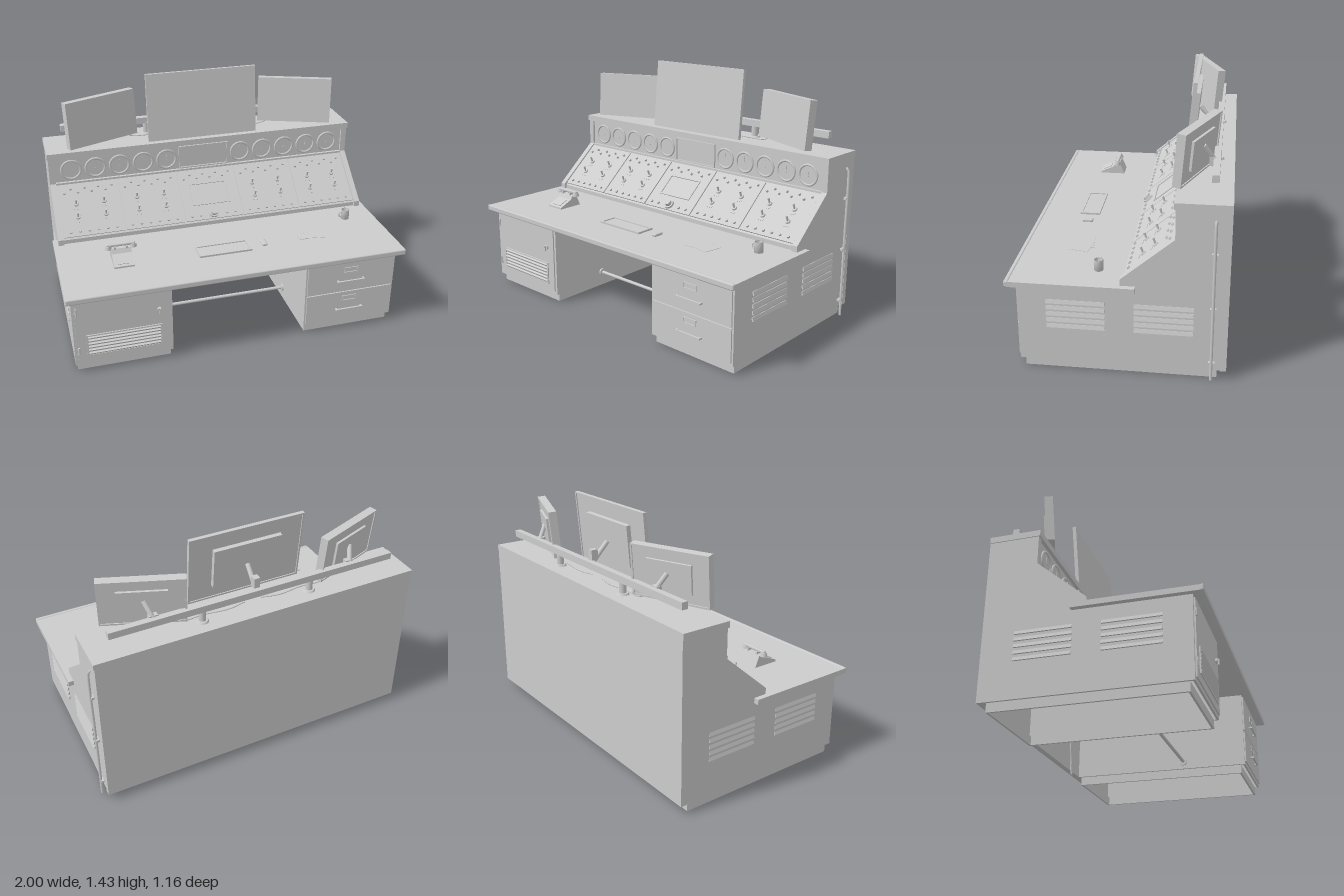
import * as THREE from 'three';
import { RoundedBoxGeometry } from 'three/addons/geometries/RoundedBoxGeometry.js';

const grey = new THREE.MeshStandardMaterial({ color: 0xcccccc });
grey.name = 'paintedGrey';

function add(parent, name, geo, x = 0, y = 0, z = 0) {
  const m = new THREE.Mesh(geo, grey);
  m.name = name;
  m.position.set(x, y, z);
  parent.add(m);
  return m;
}
// box given by its min and max corners
function span(parent, name, x0, x1, y0, y1, z0, z1) {
  return add(parent, name, new THREE.BoxGeometry(x1 - x0, y1 - y0, z1 - z0), (x0 + x1) / 2, (y0 + y1) / 2, (z0 + z1) / 2);
}
function box(parent, name, w, h, d, x, y, z) {
  return add(parent, name, new THREE.BoxGeometry(w, h, d), x, y, z);
}
function cyl(parent, name, r, h, x, y, z, alongZ = false, r2 = r, n = 16) {
  const m = add(parent, name, new THREE.CylinderGeometry(r2, r, h, n), x, y, z);
  if (alongZ) m.rotation.x = Math.PI / 2;
  return m;
}
function tube(parent, name, pts, r) {
  const curve = new THREE.CatmullRomCurve3(pts.map(p => new THREE.Vector3(...p)));
  return add(parent, name, new THREE.TubeGeometry(curve, pts.length * 6, r, 8));
}
function sub(parent, name, x = 0, y = 0, z = 0) {
  const g = new THREE.Group();
  g.name = name;
  g.position.set(x, y, z);
  parent.add(g);
  return g;
}
// profile of [z, y] points extruded across x0..x1
function across(parent, name, pts, x0, x1) {
  const s = new THREE.Shape(pts.map(([z, y]) => new THREE.Vector2(-z, y)));
  const geo = new THREE.ExtrudeGeometry(s, { depth: x1 - x0, bevelEnabled: false });
  geo.rotateY(Math.PI / 2);
  return add(parent, name, geo, x0, 0, 0);
}
// four upright walls, open below and above
function walls(parent, name, x0, x1, y0, y1, z0, z1, t = 0.012) {
  const rect = (C, a, b, c, d) => new C([[a, c], [b, c], [b, d], [a, d]].map(p => new THREE.Vector2(...p)));
  const s = rect(THREE.Shape, x0, x1, -z1, -z0);
  s.holes.push(rect(THREE.Path, x0 + t, x1 - t, -z1 + t, -z0 - t));
  const geo = new THREE.ExtrudeGeometry(s, { depth: y1 - y0, bevelEnabled: false });
  geo.rotateX(-Math.PI / 2);
  return add(parent, name, geo, 0, y0, 0);
}
// rectangular rim facing +z
function frame(parent, name, w, h, t, d, x, y, z) {
  const g = sub(parent, name, x, y, z);
  for (const s of [-1, 1]) {
    box(g, name + 'Rail', w, t, d, 0, s * (h - t) / 2, 0);
    box(g, name + 'Stile', t, h - 2 * t, d, s * (w - t) / 2, 0, 0);
  }
  return g;
}

function buildDesk(root) {
  const g = sub(root, 'desk');
  span(g, 'deskTop', -1, 1, 0.495, 0.525, -0.1, 0.565);
  add(g, 'deskLip', new RoundedBoxGeometry(2, 0.036, 0.024, 2, 0.008), 0, 0.511, 0.569);
  span(g, 'backPanel', -0.97, 0.97, 0.05, 0.965, -0.58, -0.545);
  for (const s of [-1, 1]) {
    const a = s < 0 ? -0.97 : 0.4, b = s < 0 ? -0.405 : 0.965;
    walls(g, 'pedestal', a, b, 0.05, 0.495, -0.545, 0.52);
    walls(g, 'plinth', a + 0.012, b - 0.012, 0, 0.05, -0.53, 0.495);
    // side louvres
    for (const zc of [0.215, -0.2475]) for (let i = 0; i < 5; i++) {
      const l = box(g, 'sideLouvre', 0.008, 0.022, 0.31, s * 0.969, 0.264 + i * 0.036, zc);
      l.rotation.z = s * 0.3;
    }
  }
  // cabinet door with grille, latch and hinges
  span(g, 'door', -0.955, -0.42, 0.07, 0.485, 0.52, 0.528);
  frame(g, 'grilleFrame', 0.43, 0.14, 0.008, 0.008, -0.685, 0.18, 0.531);
  for (let i = 0; i < 6; i++) box(g, 'grilleSlat', 0.41, 0.012, 0.012, -0.685, 0.127 + i * 0.021, 0.531).rotation.x = 0.5;
  cyl(g, 'latch', 0.014, 0.014, -0.48, 0.35, 0.533, true);
  box(g, 'latchLever', 0.008, 0.035, 0.01, -0.48, 0.345, 0.543);
  for (const y of [0.15, 0.41]) cyl(g, 'hinge', 0.006, 0.045, -0.945, y, 0.53);
  // drawers with handles and card holders
  for (const [y0, y1, hy] of [[0.07, 0.262, 0.148], [0.268, 0.485, 0.345]]) {
    span(g, 'drawer', 0.41, 0.955, y0, y1, 0.52, 0.528);
    box(g, 'drawerHandle', 0.17, 0.01, 0.01, 0.68, hy, 0.545);
    for (const s of [-1, 1]) box(g, 'handlePost', 0.01, 0.01, 0.018, 0.68 + s * 0.08, hy, 0.535);
    frame(g, 'cardHolder', 0.09, 0.035, 0.005, 0.006, 0.68, hy + 0.07, 0.53);
  }
  // foot rail and hanging cables in the knee space
  cyl(g, 'footRail', 0.01, 0.805, 0, 0.095, 0.14).rotation.z = Math.PI / 2;
  for (const x of [-0.4, 0.395]) cyl(g, 'railFlange', 0.024, 0.01, x, 0.095, 0.14).rotation.z = Math.PI / 2;
  for (const s of [-1, 1]) tube(g, 'hangingCable', [[0.18 + s * 0.006, 0.42, -0.53], [0.18 - s * 0.006, 0.28, -0.525], [0.18 + s * 0.007, 0.13, -0.52], [0.18 + s * 0.008, 0.005, -0.51]], 0.004);
  // conduit on the side
  tube(g, 'conduit', [[0.965, 0.912, -0.5], [0.98, 0.91, -0.5], [0.984, 0.89, -0.5], [0.984, 0.5, -0.5], [0.984, 0.003, -0.5]], 0.008);
  for (const y of [0.1, 0.42, 0.73]) box(g, 'conduitClamp', 0.018, 0.014, 0.034, 0.977, y, -0.5);
}

function buildConsole(root) {
  const g = sub(root, 'console');
  const up = [[-0.545, 0.965], [-0.545, 0.495]];
  across(g, 'consoleCore', [...up, [-0.035, 0.495], [-0.035, 0.55], [-0.313, 0.79], [-0.313, 0.965]], -0.935, 0.935);
  for (const x of [-0.97, 0.935])
    across(g, 'cheek', [...up, [-0.02, 0.495], [-0.02, 0.56], [-0.3, 0.8], [-0.3, 0.965]], x, x + 0.035);
  span(g, 'topSlab', -0.975, 0.975, 0.965, 1, -0.58, -0.292);
  box(g, 'meterLedge', 1.87, 0.012, 0.02, 0, 0.797, -0.306);

  // round meters
  for (const s of [-1, 1]) for (let i = 0; i < 5; i++) {
    const m = sub(g, 'meter', s * (0.24 + i * 0.149), 0.88, -0.313);
    add(m, 'meterRim', new THREE.TorusGeometry(0.059, 0.007, 8, 32), 0, 0, 0.004);
    cyl(m, 'meterFace', 0.056, 0.004, 0, 0, 0.002, true, 0.056, 32);
    cyl(m, 'meterPivot', 0.005, 0.008, 0, -0.005, 0.004, true);
    box(m, 'meterNeedle', 0.003, 0.04, 0.002, 0, 0.015, 0.006).rotation.z = 0;
  }
  frame(g, 'displayFrame', 0.32, 0.15, 0.008, 0.012, 0, 0.88, -0.309);

  // sloped control panels; local z points out of the slope
  const p = sub(g, 'slopedControls', 0, 0.672, -0.172);
  p.rotation.x = -Math.atan2(0.28, 0.24);
  for (let k = -2; k <= 2; k++) {
    const c = sub(p, 'controlPanel', k * 0.374, 0, 0);
    box(c, 'panelPlate', 0.366, 0.345, 0.008, 0, 0, 0.004);
    for (let i = 0; i < 8; i++)
      cyl(c, 'lamp', 0.009, 0.014, -0.147 + i * 0.042, i % 2 ? 0.138 : 0.112, 0.013, true, 0.006, 10);
    for (let i = 0; i < 6; i++) if (k || i < 2 || i > 3)
      cyl(c, 'button', 0.009, 0.012, -0.14 + i * 0.056, -0.143, 0.013, true, 0.008, 10);
    if (k) {
      for (const x of [-0.085, 0.085]) for (const y of [0.035, -0.05]) {
        cyl(c, 'switchBase', 0.016, 0.01, x, y, 0.012, true, 0.013);
        cyl(c, 'switchLever', 0.005, 0.036, x, y + 0.006, 0.03, true, 0.007, 8).rotation.x = Math.PI / 2 - 0.35;
        box(c, 'switchLabel', 0.035, 0.01, 0.003, x, y - 0.03, 0.009);
      }
    } else {
      frame(c, 'screenFrame', 0.24, 0.15, 0.008, 0.008, 0, 0, 0.01);
      cyl(c, 'dialRim', 0.032, 0.012, 0, -0.135, 0.013, true, 0.03, 24);
      cyl(c, 'dialKnob', 0.022, 0.022, 0, -0.135, 0.026, true, 0.019, 24);
    }
  }
}

// screen panel with a frame of thin bezel strips and a rear housing
function monitor(root, name, w, h, d, x, y, z, yaw, pw, ph, pd, py) {
  const g = sub(root, name, x, y, z);
  g.rotation.set(-0.088, yaw, 0, 'YXZ');
  box(g, 'screenPanel', w, h, d, 0, 0, -d / 2);
  box(g, 'rearHousing', pw, ph, pd, 0, py, -d - pd / 2);
  frame(g, 'rearRim', w, h, 0.01, 0.006, 0, 0, -d - 0.003);
  return g;
}
function rod(parent, name, a, b, r) {
  const A = new THREE.Vector3(...a), B = new THREE.Vector3(...b);
  const m = cyl(parent, name, r, A.distanceTo(B), (A.x + B.x) / 2, (A.y + B.y) / 2, (A.z + B.z) / 2, false, r, 12);
  m.quaternion.setFromUnitVectors(new THREE.Vector3(0, 1, 0), B.sub(A).normalize());
}

function buildMonitors(root) {
  const g = sub(root, 'monitors');
  span(g, 'mountRail', -0.865, 0.86, 1.068, 1.108, -0.505, -0.468);
  monitor(g, 'centreMonitor', 0.69, 0.42, 0.016, -0.003, 1.22, -0.322, 0, 0.41, 0.24, 0.026, -0.005);
  box(g, 'centreBracket', 0.035, 0.06, 0.04, 0, 1.14, -0.46);
  rod(g, 'centreStrut', [0, 1.09, -0.47], [0, 1.2, -0.365], 0.014);
  for (const s of [-1, 1]) {
    monitor(g, 'sideMonitor', 0.465, 0.285, 0.042, s * 0.6175, 1.167, -0.3625, -s * 0.363, 0.27, 0.16, 0.014, 0);
    rod(g, 'sideStrut', [s * 0.6, 1.09, -0.475], [s * 0.63, 1.18, -0.415], 0.014);
    box(g, 'sideBracket', 0.05, 0.05, 0.03, s * 0.6, 1.09, -0.46);
    cyl(g, 'railPost', 0.02, 0.075, s * 0.33, 1.035, -0.485);
    cyl(g, 'postBase', 0.036, 0.01, s * 0.33, 1.005, -0.485, false, 0.03, 20);
    tube(g, 'monitorCable', [[s * 0.5, 1.06, -0.44], [s * 0.44, 1.01, -0.445], [s * 0.3, 1.005, -0.44], [s * 0.16, 1.005, -0.455], [s * 0.05, 1.005, -0.435]], 0.004);
  }
}

function buildDeskItems(root) {
  const g = sub(root, 'deskItems');
  // telephone
  across(g, 'phoneBody', [[0.325, 0.525], [0.325, 0.535], [0.24, 0.572], [0.225, 0.598], [0.195, 0.598], [0.165, 0.525]], -0.692, -0.575);
  const handset = add(g, 'handset', new RoundedBoxGeometry(0.17, 0.018, 0.024, 2, 0.007), -0.634, 0.616, 0.21);
  for (const s of [-1, 1]) {
    cyl(handset, 'handsetCup', 0.022, 0.022, s * 0.073, -0.012, 0, false, 0.017);
    box(g, 'cradle', 0.012, 0.016, 0.04, -0.634 + s * 0.035, 0.602, 0.21);
  }
  box(g, 'phoneKeypad', 0.07, 0.004, 0.06, -0.634, 0.555, 0.284).rotation.x = 0.41;
  // framed tablet, mouse, papers
  box(g, 'tabletBase', 0.32, 0.005, 0.12, -0.035, 0.5275, 0.28);
  frame(g, 'tabletRim', 0.32, 0.12, 0.012, 0.01, -0.035, 0.531, 0.28).rotation.x = -Math.PI / 2;
  add(g, 'mouse', new RoundedBoxGeometry(0.032, 0.018, 0.066, 3, 0.008), 0.215, 0.532, 0.277);
  [[0.5, 0.24, 0.1], [0.55, 0.25, -0.15]].forEach(([x, z, a], i) => {
    box(g, 'paper', 0.13, 0.002, 0.11, x, 0.5265 + i * 0.002, z).rotation.y = a;
  });
  // mug
  const mug = [[0, 0], [0.025, 0], [0.025, 0.06], [0.021, 0.06], [0.021, 0.008], [0, 0.008]].map(p => new THREE.Vector2(...p));
  add(g, 'mug', new THREE.LatheGeometry(mug, 20), 0.812, 0.525, 0.112);
  add(g, 'mugHandle', new THREE.TorusGeometry(0.016, 0.004, 8, 16), 0.785, 0.556, 0.112);
}

export function createModel() {
  const root = new THREE.Group();
  root.name = 'controlDesk';
  buildDesk(root);
  buildConsole(root);
  buildMonitors(root);
  buildDeskItems(root);
  return root;
}
